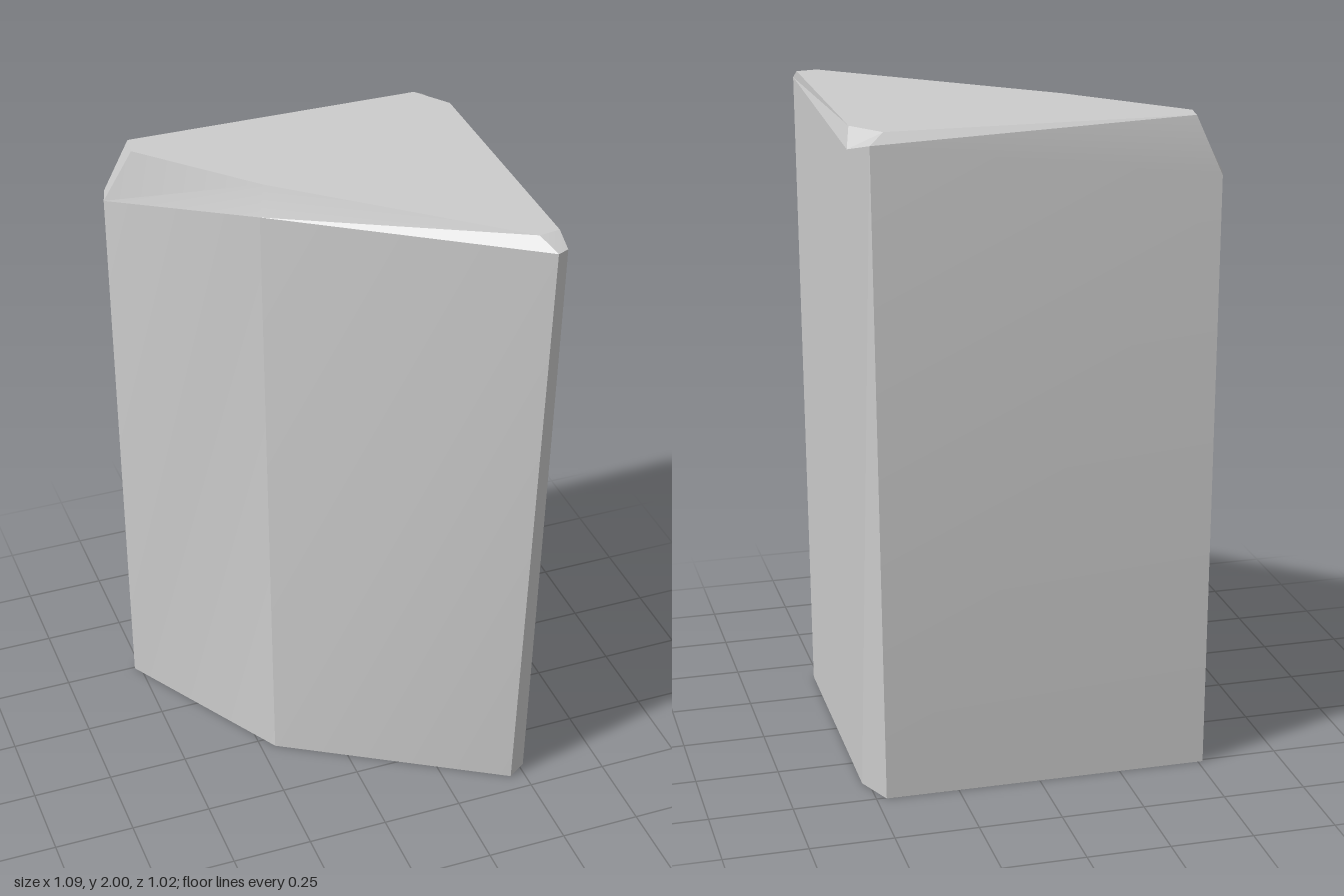
import * as THREE from 'three';
import { toCreasedNormals } from 'three/addons/utils/BufferGeometryUtils.js';

export function createModel() {
  const group = new THREE.Group();
  group.name = 'rockPillar';

  // Outlines [x, y, z], in order: back left, back right, right, front right, front, bulge, left
  const base = [
    [-0.515, 0, -0.51], [0.47, 0, -0.505], [0.52, 0, -0.39], [0.515, 0, 0.4],
    [0.455, 0, 0.44], [-0.205, 0, 0.04], [-0.52, 0, -0.495],
  ];
  const shoulder = [
    [-0.525, 1.83, -0.513], [0.49, 1.97, -0.505], [0.54, 1.95, -0.44], [0.515, 1.97, 0.495],
    [0.48, 1.97, 0.51], [-0.19, 1.91, -0.065], [-0.545, 1.83, -0.45],
  ];
  const top = [
    [-0.455, 2, -0.48], [0.445, 2, -0.475], [0.52, 2, -0.37], [0.515, 2, 0.435],
    [0.45, 2, 0.445], [-0.17, 2, -0.09], [-0.465, 2, -0.41],
  ];
  const rings = [base, shoulder, top];
  const n = base.length;
  const index = [];

  // Tall sides, then the bevel round the top
  for (let r = 0; r < rings.length - 1; r++) {
    for (let i = 0; i < n; i++) {
      const a = r * n + i, a2 = r * n + (i + 1) % n;
      const b = a + n, b2 = a2 + n;
      index.push(b, b2, a2, b, a2, a);
    }
  }

  // Flat bottom and top
  const t = 2 * n;
  for (let i = 1; i < n - 1; i++) {
    index.push(0, i, i + 1);
    index.push(t, t + i + 1, t + i);
  }

  const geometry = new THREE.BufferGeometry();
  geometry.setAttribute('position', new THREE.Float32BufferAttribute(rings.flat(2), 3));
  geometry.setIndex(index);

  // Keep facet edges sharp, soften the slight twist within a facet
  const rock = new THREE.Mesh(
    toCreasedNormals(geometry, 0.25),
    new THREE.MeshStandardMaterial({ color: 0xcccccc }),
  );
  rock.name = 'rock';
  group.add(rock);
  return group;
}
